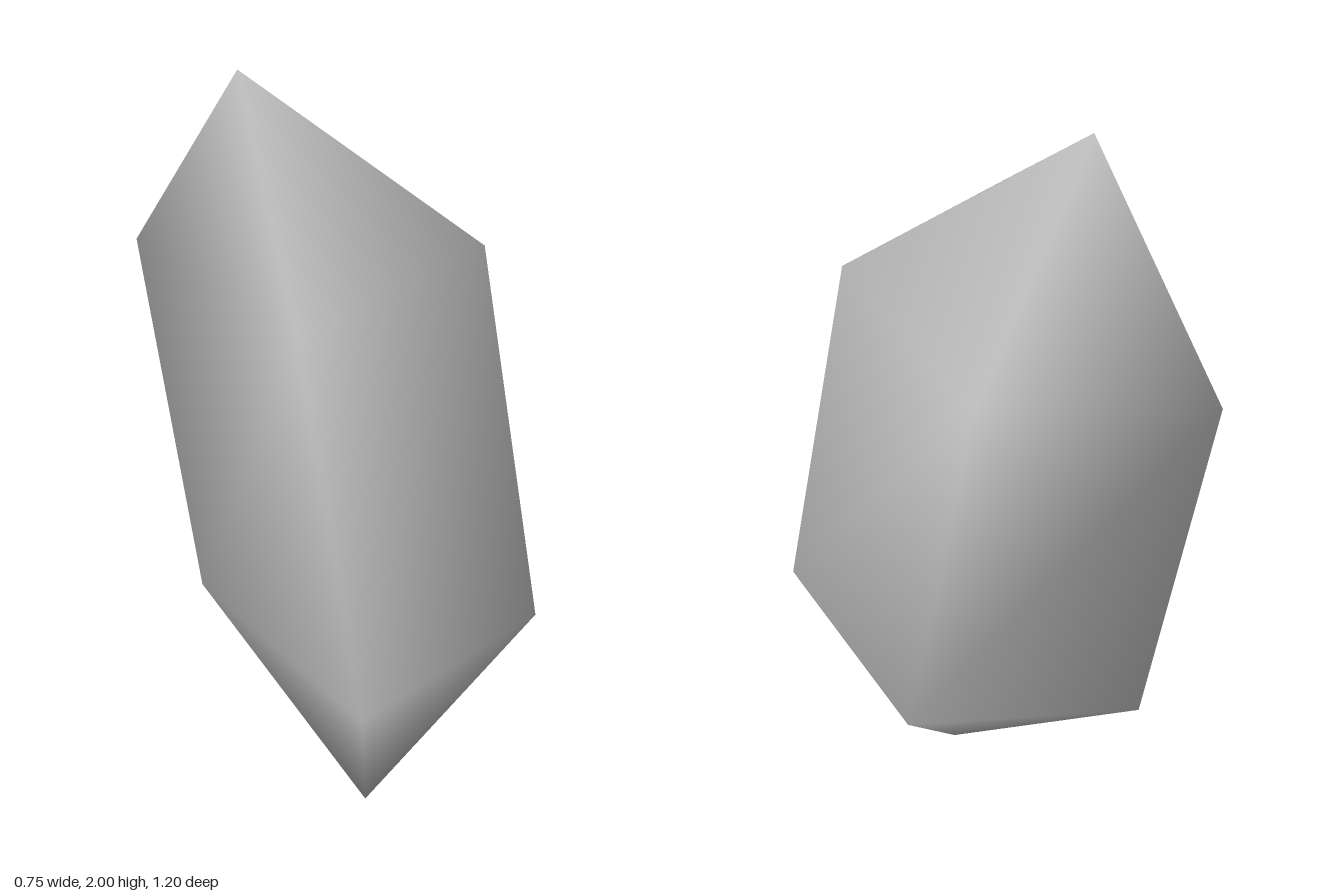
import * as THREE from 'three';

export function createModel() {
  const group = new THREE.Group();
  group.name = 'crystal';
  const stone = new THREE.MeshStandardMaterial({ color: 0xc4c4c4 });
  stone.name = 'grey stone';

  // Slanted four-sided shaft: upper ring, swept along the axis to the lower ring
  const upper = [[-0.38, 1.6, 0.39], [0.25, 1.6, 0.26], [0.33, 1.47, -0.35], [-0.25, 1.39, -0.6]];
  const axis = [0.045, -1, 0.21];
  const lower = upper.map(p => p.map((v, k) => v + axis[k]));
  const tip = [-0.17, 2, -0.2];
  const foot = [-0.08, 0, 0.24];
  const points = [...upper, ...lower, tip, foot];

  // Pointed cap, shaft side and pointed base for each side; shared corners keep it smooth
  const n = upper.length;
  const index = [];
  for (let i = 0; i < n; i++) {
    const j = (i + 1) % n;
    index.push(i, j, 2 * n);
    index.push(n + i, n + j, j, n + i, j, i);
    index.push(2 * n + 1, n + j, n + i);
  }

  const geometry = new THREE.BufferGeometry();
  geometry.setAttribute('position', new THREE.Float32BufferAttribute(points.flat(), 3));
  geometry.setIndex(index);
  geometry.computeVertexNormals();

  const shard = new THREE.Mesh(geometry, stone);
  shard.name = 'crystalShard';
  group.add(shard);
  return group;
}
